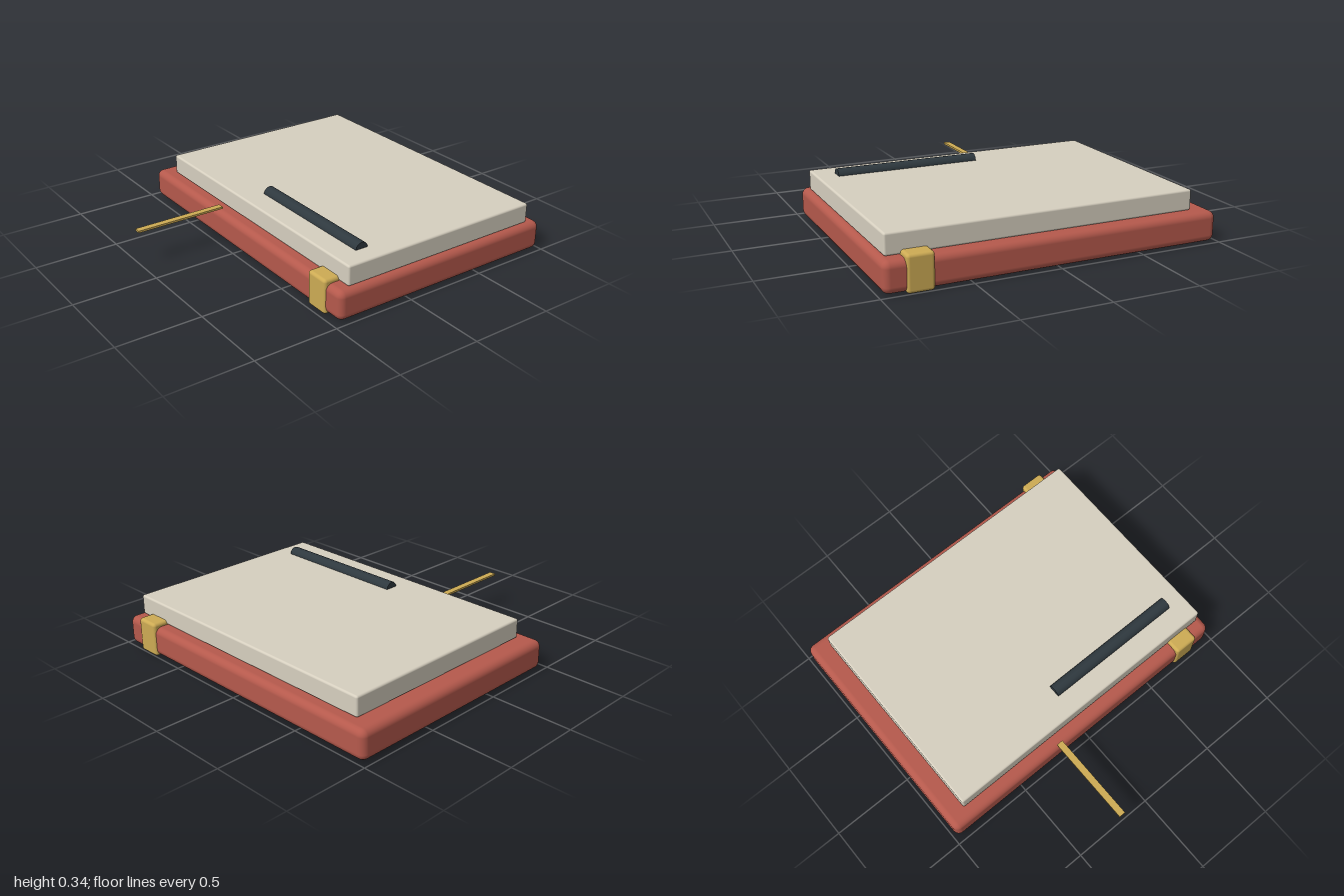
import * as THREE from 'three';
import { RoundedBoxGeometry } from 'three/addons/geometries/RoundedBoxGeometry.js';

const material = (name, color) => {
  const m = new THREE.MeshStandardMaterial({ color });
  m.name = name;
  return m;
};

export function createModel() {
  const group = new THREE.Group();
  group.name = 'notebook';
  const red = material('cover red', 0xb5594c);
  const cream = material('paper cream', 0xd6cfbf);
  const gold = material('strap gold', 0xcdab54);
  const dark = material('pen slate', 0x2f393f);

  const add = (name, geometry, mat) => {
    const mesh = new THREE.Mesh(geometry, mat);
    mesh.name = name;
    group.add(mesh);
    return mesh;
  };

  // Box with rounded edges, given by its minimum and maximum corners
  const block = (name, min, max, radius, mat) => {
    const [w, h, d] = max.map((v, i) => v - min[i]);
    const geometry = radius
      ? new RoundedBoxGeometry(w, h, d, 3, radius)
      : new THREE.BoxGeometry(w, h, d);
    add(name, geometry, mat).position.set(
      ...max.map((v, i) => (v + min[i]) / 2)
    );
  };

  // Cover and page block, the pages set off towards the open edge
  block('cover', [-0.98, 0.005, -0.99], [0.98, 0.18, 0.465], 0.04, red);
  block('pages', [-0.86, 0.18, -0.91], [0.945, 0.3, 0.385], 0.012, cream);

  // Strap wrapped round the cover, and the bookmark ribbon
  block('strap', [0.71, 0, -1], [0.86, 0.205, 0.475], 0.018, gold);
  block('ribbon', [-0.22, 0.205, 0.45], [-0.18, 0.217, 1], 0, gold);

  // Pen lying half sunk in the top page
  const pen = add('pen', new THREE.CylinderGeometry(0.04, 0.04, 0.87, 12), dark);
  pen.rotation.z = Math.PI / 2;
  pen.position.set(0.393, 0.298, 0.21);

  return group;
}
